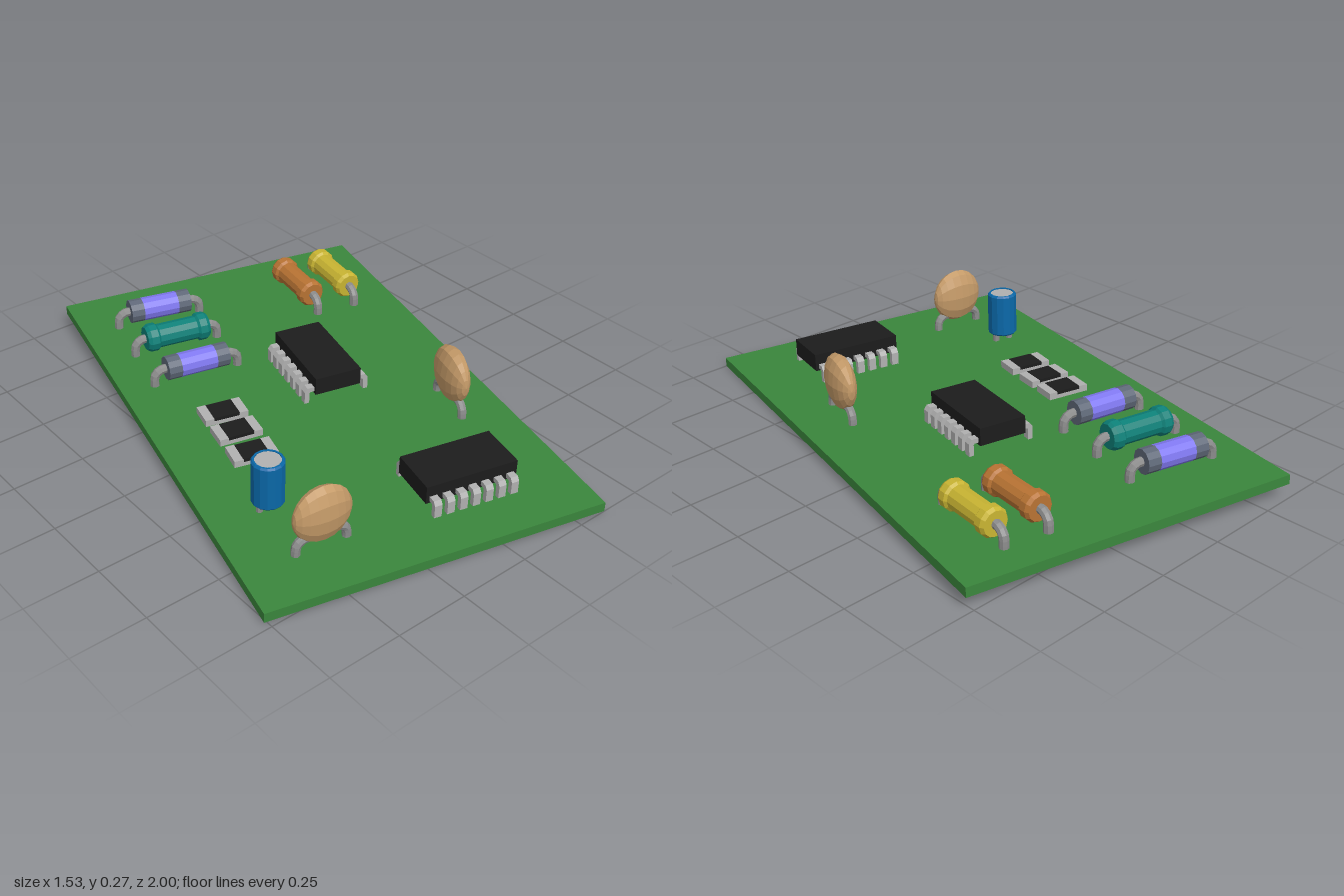
import * as THREE from 'three';

const mat = (color) => new THREE.MeshStandardMaterial({ color, flatShading: true });
const M = {
  board: mat(0x3a863c), black: mat(0x1c1c1c), metal: mat(0x8c8c8c), silver: mat(0xb0b0b0),
  purple: mat(0x8078f0), band: mat(0x5f6878), teal: mat(0x0c8078), orange: mat(0xb87333),
  yellow: mat(0xc8b432), blue: mat(0x0a68a8), tan: mat(0xc49a68),
};
const THICK = 0.033;
const TURN = 13.3; // heading of the board, degrees

function add(group, name, geometry, material, x = 0, y = 0, z = 0) {
  const mesh = new THREE.Mesh(geometry, material);
  mesh.name = name;
  mesh.position.set(x, y, z);
  group.add(mesh);
  return mesh;
}

function part(name) {
  const g = new THREE.Group();
  g.name = name;
  return g;
}

// Round wire through a few points
function wire(group, name, points, radius = 0.016) {
  const curve = new THREE.CatmullRomCurve3(points.map((p) => new THREE.Vector3(...p)));
  add(group, name, new THREE.TubeGeometry(curve, 7, radius, 8), M.metal);
}

// Bent wires at both ends of a lying component
function axialLeads(group, axisY) {
  for (const s of [-1, 1]) {
    wire(group, 'lead', [[s * 0.1, axisY, 0], [s * 0.128, axisY, 0],
      [s * 0.149, axisY - 0.014, 0], [s * 0.154, axisY - 0.032, 0], [s * 0.154, -0.005, 0]]);
  }
}

function diode() {
  const g = part('diode');
  const y = 0.057;
  const tube = (r, l) => new THREE.CylinderGeometry(r, r, l, 12).rotateZ(Math.PI / 2);
  add(g, 'diodeBody', tube(0.042, 0.13), M.purple, 0, y);
  for (const s of [-1, 1]) add(g, 'diodeEnd', tube(0.042, 0.047), M.band, s * 0.0885, y);
  axialLeads(g, y);
  return g;
}

function resistor(material) {
  const g = part('resistor');
  const half = [[0.042, 0.07], [0.05, 0.078], [0.05, 0.104], [0.042, 0.116], [0, 0.116]];
  const profile = [...half.map(([r, h]) => [r, -h]).reverse(), ...half];
  const body = new THREE.LatheGeometry(profile.map((p) => new THREE.Vector2(...p)), 12);
  add(g, 'resistorBody', body.rotateZ(Math.PI / 2), material, 0, 0.059);
  axialLeads(g, 0.059);
  return g;
}

function surfaceResistor() {
  const g = part('surfaceResistor');
  add(g, 'chipBase', new THREE.BoxGeometry(0.09, 0.013, 0.085), M.silver, 0, 0.0065);
  add(g, 'chipTop', new THREE.BoxGeometry(0.09, 0.013, 0.081), M.black, 0, 0.0185);
  for (const s of [-1, 1]) {
    add(g, 'chipTerminal', new THREE.BoxGeometry(0.031, 0.024, 0.085), M.silver, s * 0.06, 0.012);
  }
  return g;
}

function integratedCircuit() {
  const g = part('integratedCircuit');
  add(g, 'circuitBody', new THREE.BoxGeometry(0.322, 0.062, 0.168), M.black, 0, 0.065);
  // Pin outline: out of the body, over the bend, down to the board
  const outline = [[0.07, 0.042], [0.098, 0.042], [0.102, 0.038], [0.102, -0.005],
    [0.119, -0.005], [0.119, 0.044], [0.109, 0.058], [0.07, 0.058]];
  const shape = new THREE.Shape(outline.map((p) => new THREE.Vector2(...p)));
  const pin = new THREE.ExtrudeGeometry(shape, { depth: 0.026, bevelEnabled: false });
  pin.translate(0, 0, -0.013).rotateY(-Math.PI / 2);
  for (const s of [0, Math.PI]) {
    for (let i = -3; i <= 3; i++) {
      const x = i * 0.0455;
      add(g, 'pin', pin, M.silver, x, 0, 0).rotation.y = s;
    }
  }
  return g;
}

function canCapacitor() {
  const g = part('canCapacitor');
  // Sleeve folds over the rim and leaves a metal disc showing
  const profile = [[0, 0.03], [0.048, 0.03], [0.053, 0.036], [0.053, 0.182], [0.048, 0.188], [0.042, 0.188], [0.042, 0.182]];
  add(g, 'canSleeve', new THREE.LatheGeometry(profile.map((p) => new THREE.Vector2(...p)), 14), M.blue);
  add(g, 'canTop', new THREE.CylinderGeometry(0.043, 0.043, 0.02, 14), M.silver, 0, 0.175);
  for (const s of [-1, 1]) {
    add(g, 'canLeg', new THREE.CylinderGeometry(0.012, 0.012, 0.045, 8), M.metal, s * 0.028, 0.0175);
  }
  return g;
}

function discCapacitor() {
  const g = part('discCapacitor');
  const disc = new THREE.SphereGeometry(1, 12, 10).rotateZ(Math.PI / 2).scale(0.1, 0.099, 0.044);
  add(g, 'disc', disc, M.tan, 0, 0.122);
  for (const s of [-1, 1]) {
    wire(g, 'discLeg', [[s * 0.045, 0.05, 0], [s * 0.065, 0.048, 0],
      [s * 0.083, 0.035, 0], [s * 0.088, 0.015, 0], [s * 0.088, -0.005, 0]], 0.015);
  }
  return g;
}

export function createModel() {
  const root = new THREE.Group();
  root.name = 'circuitBoard';

  // Slightly tilted board frame, origin at the middle of its underside
  const boardGroup = part('boardAssembly');
  const X = new THREE.Vector3(1.12, -0.012, 0.265).normalize();
  const Y = new THREE.Vector3(-0.405, -0.04, 1.735).cross(X).normalize();
  const Z = new THREE.Vector3().crossVectors(X, Y);
  boardGroup.quaternion.setFromRotationMatrix(new THREE.Matrix4().makeBasis(X, Y, Z));
  boardGroup.position.y = 0.026;
  root.add(boardGroup);
  add(boardGroup, 'board', new THREE.BoxGeometry(1.151, THICK, 1.782), M.board, 0, THICK / 2);

  // Components: object, x and z on the ground plan, heading in degrees
  const layout = [
    [diode(), -0.13, -0.715, 15.5],
    [resistor(M.teal), -0.182, -0.53, 13.5],
    [diode(), -0.232, -0.337, 12.5],
    [resistor(M.orange), 0.38, -0.545, 98.5],
    [resistor(M.yellow), 0.528, -0.513, 98.5],
    [surfaceResistor(), -0.302, -0.09, 14.5],
    [surfaceResistor(), -0.328, 0.022, 13],
    [surfaceResistor(), -0.357, 0.143, 15.5],
    [integratedCircuit(), 0.103, -0.09, 103.3],
    [integratedCircuit(), 0.06, 0.647, 13.3],
    [canCapacitor(), -0.478, 0.382, 13.3],
    [discCapacitor(), -0.457, 0.61, 8],
    [discCapacitor(), 0.342, 0.323, 106],
  ];
  const t = THREE.MathUtils.degToRad(TURN);
  const [c, s] = [Math.cos(t), Math.sin(t)];
  for (const [object, x, z, heading] of layout) {
    object.position.set(c * x + s * z, THICK, c * z - s * x);
    object.rotation.y = THREE.MathUtils.degToRad(TURN - heading);
    boardGroup.add(object);
  }
  return root;
}
